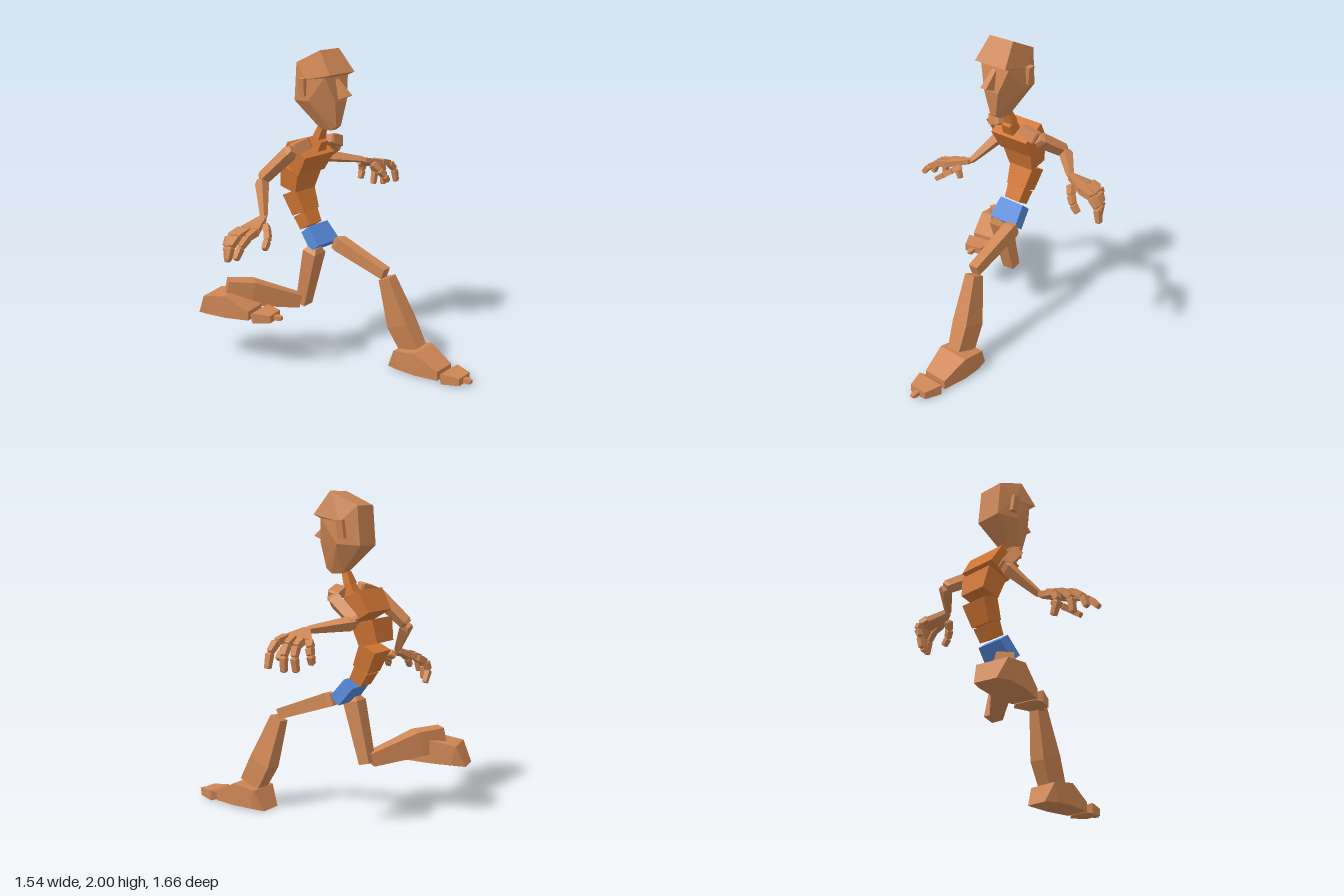
import * as THREE from 'three';
import { ConvexGeometry } from 'three/addons/geometries/ConvexGeometry.js';

const material = (color) => new THREE.MeshStandardMaterial({ color, flatShading: true });
const V = (p) => new THREE.Vector3(...p);

export function createModel() {
  const root = new THREE.Group();
  root.name = 'kneelingFigure';
  const skin = material(0xcd8654), shirt = material(0xd07533), blue = material(0x5588d8);

  function group(name, parent = root) {
    const g = new THREE.Group();
    g.name = name;
    parent.add(g);
    return g;
  }

  // Faceted solid around a handful of corners
  function hull(name, points, mat = skin, parent = root) {
    const mesh = new THREE.Mesh(new ConvexGeometry(points), mat);
    mesh.name = name;
    parent.add(mesh);
    return mesh;
  }

  // Rows of [half width, y, z], mirrored about x = cx
  const mirrored = (rows, cx = 0) => rows.flatMap(([w, y, z]) => [V([cx - w, y, z]), V([cx + w, y, z])]);

  // Solid along a bone; sections are [t, width, front offset, back offset]
  function bone(name, a, b, hint, sections, mat = skin, parent = root) {
    const start = V(a), end = V(b);
    const axis = end.clone().sub(start).normalize();
    const front = V(hint);
    front.addScaledVector(axis, -front.dot(axis)).normalize();
    const side = new THREE.Vector3().crossVectors(axis, front);
    const pts = [];
    for (const [t, w, f, k] of sections) {
      const c = start.clone().lerp(end, t);
      for (const s of [-0.5, 0.5])
        for (const o of [f, k]) pts.push(c.clone().addScaledVector(side, s * w).addScaledVector(front, o));
    }
    return hull(name, pts, mat, parent);
  }

  // Tapered square bone with blunt narrowed ends
  function limb(name, a, b, w0, w1, parent = root, hint = [0, 0.3, 1]) {
    const sec = (t, w) => [t, w, w / 2, -w / 2];
    return bone(name, a, b, hint, [sec(0, w0 * 0.7), sec(0.12, w0), sec(0.92, w1), sec(1, w1 * 0.75)], skin, parent);
  }

  // Head
  const head = group('head');
  const hx = 0.008;
  hull('cranium', mirrored([[0.09, 2, -0.15], [0.118, 1.86, -0.05], [0.112, 1.84, -0.095],
    [0.088, 1.915, -0.34], [0.122, 1.82, -0.24]], hx), skin, head);
  hull('face', mirrored([[0.11, 1.845, -0.095], [0.055, 1.69, -0.06], [0.022, 1.535, -0.08], [0.025, 1.507, -0.12],
    [0.03, 1.51, -0.2], [0.088, 1.68, -0.36], [0.088, 1.915, -0.34], [0.125, 1.69, -0.22], [0.122, 1.82, -0.24]], hx), skin, head);
  hull('nose', mirrored([[0.015, 1.835, -0.1], [0.022, 1.73, 0.01], [0.024, 1.7, -0.07], [0.02, 1.75, -0.12]], hx), skin, head);
  for (const s of [-1, 1]) {
    const ear = new THREE.Mesh(new THREE.BoxGeometry(0.03, 0.11, 0.045), skin);
    ear.name = s > 0 ? 'leftEar' : 'rightEar';
    ear.position.set(hx + s * 0.132, 1.777, -0.255);
    ear.rotation.set(0.06, 0, -s * 0.12);
    head.add(ear);
  }

  // Spine blocks: name, bottom [y, z], top [y, z], widths and depths at both ends
  const torso = group('torso');
  const blocks = [
    ['pelvis', [0.745, -0.2], [0.855, -0.29], 0.215, 0.185, 0.08, 0.08, 0.015, blue],
    ['waist', [0.86, -0.31], [0.94, -0.355], 0.12, 0.135, 0.09, 0.1, 0.005, shirt],
    ['abdomen', [0.945, -0.355], [1.08, -0.415], 0.145, 0.185, 0.11, 0.12, 0.007, shirt],
    ['ribs', [1.1, -0.42], [1.24, -0.385], 0.185, 0.235, 0.13, 0.15, 0.002, shirt],
    ['chest', [1.255, -0.375], [1.38, -0.3], 0.255, 0.285, 0.17, 0.17, 0.005, shirt],
    ['neckBase', [1.38, -0.255], [1.44, -0.225], 0.08, 0.065, 0.08, 0.07, 0.01, shirt],
    ['neck', [1.445, -0.24], [1.515, -0.212], 0.075, 0.05, 0.05, 0.04, 0.01, shirt],
  ];
  for (const [name, lo, hi, w0, w1, d0, d1, x, mat] of blocks)
    bone(name, [x, ...lo], [x, ...hi], [0, 0, 1], [[0, w0, d0 / 2, -d0 / 2], [1, w1, d1 / 2, -d1 / 2]], mat, torso);

  // Arm with collar, two bones, palm and jointed fingers
  function arm(name, { collar, shoulder, elbow, wrist, knuckles, fingers }) {
    const g = group(name);
    limb('collar', collar, shoulder, 0.065, 0.07, g);
    limb('upperArm', shoulder, elbow, 0.07, 0.062, g);
    limb('forearm', elbow, wrist, 0.062, 0.035, g);
    const hand = group('hand', g);
    const palm = [];
    for (const dy of [-0.02, 0.02]) {
      for (const dz of [-0.022, 0.022]) palm.push(V([wrist[0], wrist[1] + dy * 0.8, wrist[2] + dz]));
      for (const k of knuckles) palm.push(V([k[0], k[1] + dy, k[2]]));
    }
    hull('palm', palm, skin, hand);
    const fingerNames = ['index', 'middle', 'ring', 'little', 'thumb'];
    fingers.forEach((pts, i) => {
      const curve = new THREE.QuadraticBezierCurve3(...pts.map(V));
      for (let j = 0; j < 3; j++) {
        const w = 0.044 - 0.004 * j;
        limb(fingerNames[i] + 'Finger' + (j + 1), curve.getPoint(j / 3).toArray(),
          curve.getPoint((j + 1) / 3).toArray(), w, w * 0.85, hand, [0, 0, 1]);
      }
    });
  }
  arm('leftArm', {
    collar: [0.1, 1.425, -0.235], shoulder: [0.22, 1.385, -0.25], elbow: [0.285, 1.255, -0.45], wrist: [0.48, 1.22, -0.25],
    knuckles: [[0.6, 1.185, -0.18], [0.61, 1.18, -0.25], [0.57, 1.165, -0.35]],
    fingers: [
      [[0.6, 1.19, -0.2], [0.75, 1.19, -0.18], [0.755, 1.03, -0.18]],
      [[0.6, 1.19, -0.25], [0.74, 1.17, -0.26], [0.7, 1.01, -0.25]],
      [[0.59, 1.18, -0.295], [0.72, 1.16, -0.31], [0.66, 1.01, -0.305]],
      [[0.57, 1.17, -0.335], [0.66, 1.14, -0.39], [0.6, 1.05, -0.37]],
      [[0.52, 1.19, -0.21], [0.56, 1.12, -0.14], [0.62, 1.06, -0.15]],
    ],
  });
  arm('rightArm', {
    collar: [-0.07, 1.425, -0.25], shoulder: [-0.18, 1.39, -0.29], elbow: [-0.265, 1.19, -0.48], wrist: [-0.41, 1.0, -0.33],
    knuckles: [[-0.55, 0.96, -0.24], [-0.57, 0.96, -0.31], [-0.53, 0.94, -0.41]],
    fingers: [
      [[-0.55, 0.96, -0.26], [-0.69, 0.95, -0.24], [-0.76, 0.84, -0.23]],
      [[-0.56, 0.96, -0.31], [-0.73, 0.95, -0.31], [-0.74, 0.82, -0.31]],
      [[-0.55, 0.95, -0.36], [-0.71, 0.94, -0.38], [-0.69, 0.78, -0.37]],
      [[-0.53, 0.94, -0.4], [-0.7, 0.91, -0.45], [-0.6, 0.77, -0.43]],
      [[-0.45, 0.97, -0.28], [-0.5, 0.93, -0.19], [-0.58, 0.87, -0.17]],
    ],
  });

  // Foot with its heel at the origin, pointing along +z
  function foot(parent, position, turn) {
    const g = group('foot', parent);
    hull('footBody', mirrored([[0.07, 0, 0], [0.1, 0.01, 0.09], [0.1, 0.13, 0.06], [0.105, 0.155, 0.22],
      [0.105, 0.01, 0.22], [0.08, 0.07, 0.38], [0.08, 0.01, 0.38]]), skin, g);
    hull('toes', mirrored([[0.06, 0.01, 0.39], [0.06, 0.05, 0.39], [0.093, 0.003, 0.42], [0.093, 0.07, 0.42],
      [0.06, 0.012, 0.53], [0.06, 0.06, 0.53]]), skin, g);
    hull('toeTip', mirrored([[0.016, 0.02, 0.53], [0.016, 0.048, 0.53], [0.018, 0.018, 0.56], [0.018, 0.048, 0.56],
      [0.012, 0.022, 0.58], [0.012, 0.042, 0.58]]), skin, g);
    g.position.set(...position);
    g.rotation.y = turn;
  }

  // Leg: thigh, shin with calf bulge, foot
  function leg(name, { hip, knee, shinTop, ankle, front, thigh, heel, turn }) {
    const g = group(name);
    bone('thigh', hip, knee, [0, 1, 1], thigh, skin, g);
    bone('shin', shinTop, ankle, front, [[0, 0.075, 0.04, -0.045], [0.65, 0.115, 0.06, -0.095], [1, 0.095, 0.075, -0.075]], skin, g);
    foot(g, heel, turn);
  }
  leg('leftLeg', {
    hip: [0.1, 0.76, -0.18], knee: [0.115, 0.615, 0.21], shinTop: [0.122, 0.59, 0.22], ankle: [0.17, 0.145, 0.39],
    front: [0, 0, 1], thigh: [[0, 0.06, 0.025, -0.045], [0.08, 0.078, 0.042, -0.048], [1, 0.065, 0.034, -0.034]],
    heel: [0.172, 0, 0.25], turn: 0,
  });
  leg('rightLeg', {
    hip: [-0.055, 0.75, -0.225], knee: [-0.045, 0.34, -0.335], shinTop: [-0.075, 0.36, -0.345], ankle: [-0.45, 0.465, -0.645],
    front: [0, -1, 0], thigh: [[0, 0.06, 0.03, -0.03], [0.08, 0.11, 0.05, -0.05], [1, 0.085, 0.036, -0.036]],
    heel: [-0.475, 0.31, -0.815], turn: 0.21,
  });

  return root;
}
